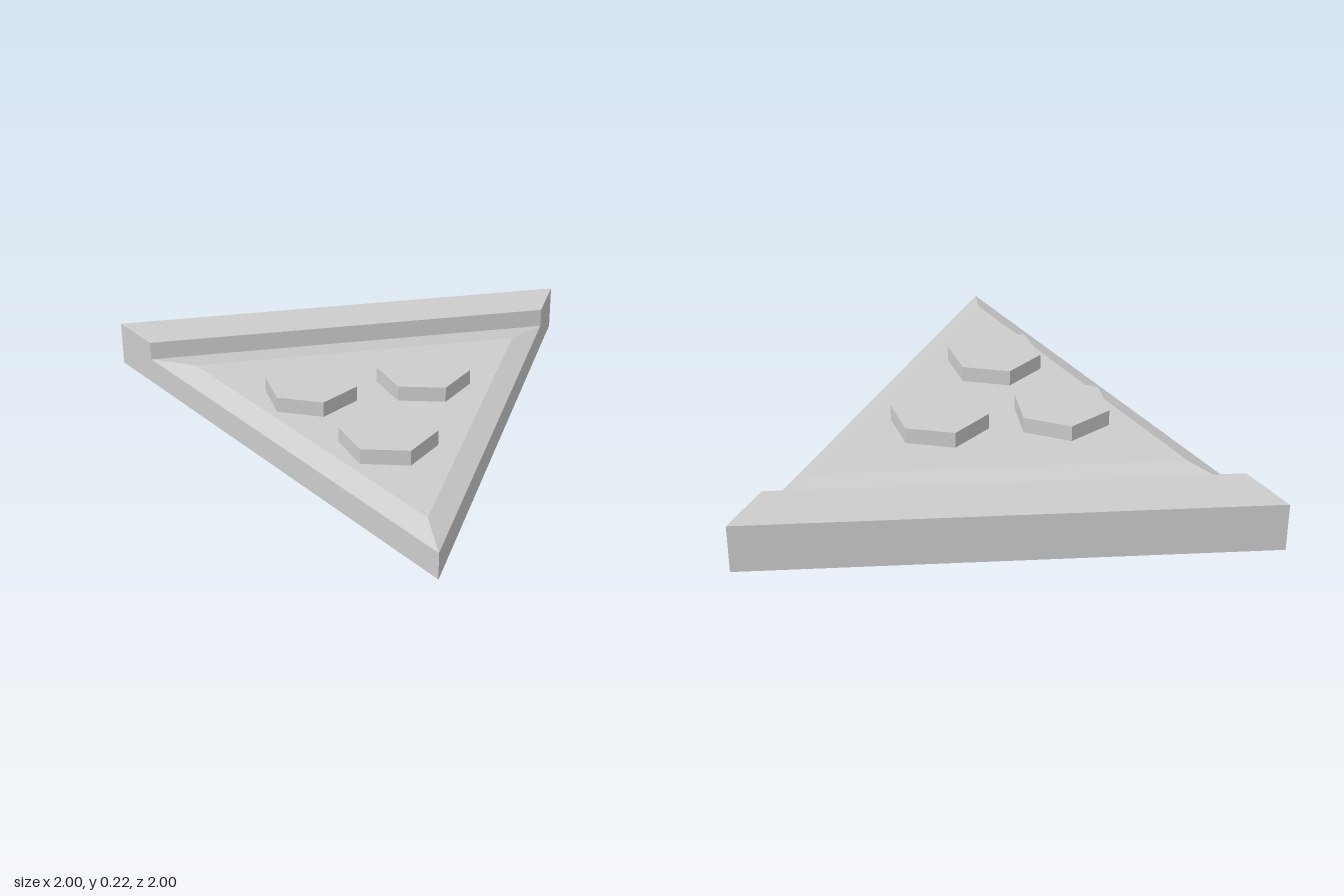
import * as THREE from 'three';

// Solid from stacked outlines; each layer is { y, pts: [[x, z], ...] }, anticlockwise from above
function loft(layers) {
  const pos = [];
  const tri = (...corners) => corners.forEach((c) => pos.push(...c));
  const rings = layers.map(({ y, pts }) => pts.map(([x, z]) => [x, y, z]));
  const n = rings[0].length;
  const top = rings[rings.length - 1];
  for (let k = 0; k < rings.length - 1; k++) {
    for (let i = 0; i < n; i++) {
      const j = (i + 1) % n;
      const [a, b, c, d] = [rings[k][i], rings[k][j], rings[k + 1][j], rings[k + 1][i]];
      tri(a, b, c);
      tri(a, c, d);
    }
  }
  for (let i = 1; i < n - 1; i++) {
    tri(top[0], top[i], top[i + 1]);
    tri(rings[0][0], rings[0][i + 1], rings[0][i]);
  }
  const geo = new THREE.BufferGeometry();
  geo.setAttribute('position', new THREE.Float32BufferAttribute(pos, 3));
  geo.computeVertexNormals();
  return geo;
}

export function createModel() {
  const model = new THREE.Group();
  model.name = 'pizzaSlice';
  const grey = new THREE.MeshStandardMaterial({ color: 0xcccccc, flatShading: true });
  grey.name = 'light grey';

  const add = (name, geo) => {
    const mesh = new THREE.Mesh(geo, grey);
    mesh.name = name;
    model.add(mesh);
    return mesh;
  };

  // Triangular slice with a bevelled top
  const outer = [[-0.887, -0.775], [0, 1], [0.887, -0.775]];
  const inner = [[-0.705, -0.6], [0, 0.815], [0.705, -0.6]];
  add('slice', loft([
    { y: 0, pts: outer },
    { y: 0.113, pts: outer },
    { y: 0.15, pts: inner },
  ]));

  // Raised crust along the back, its ends following the slice sides
  const rim = [[-1, -1], [-0.887, -0.775], [0.887, -0.775], [1, -1]];
  add('crust', loft([{ y: 0, pts: rim }, { y: 0.193, pts: rim }]));

  // Hexagonal toppings: x, z, turn
  const toppings = [[-0.263, -0.225, 0.1], [0.22, -0.25, 0.27], [-0.03, 0.24, 0.26]];
  toppings.forEach(([x, z, turn], i) => {
    const topping = add(`topping${i + 1}`, new THREE.CylinderGeometry(0.197, 0.197, 0.075, 6));
    topping.position.set(x, 0.1775, z);
    topping.rotation.y = turn;
  });

  return model;
}
